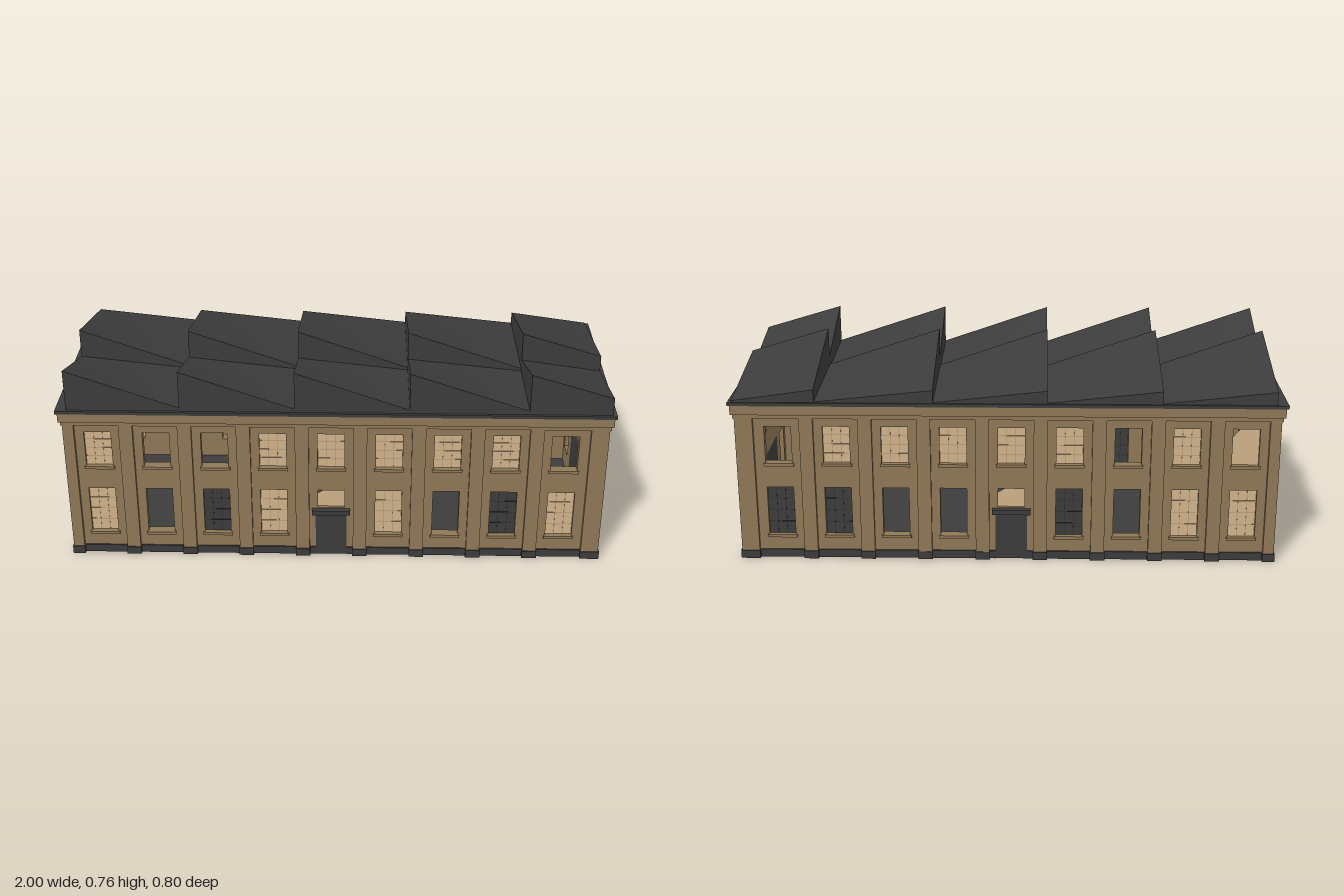
import * as THREE from 'three';

const mat = (name, color, side = THREE.FrontSide) => {
  const m = new THREE.MeshStandardMaterial({ color, side });
  m.name = name;
  return m;
};

export function createModel() {
  const model = new THREE.Group();
  model.name = 'factory';
  const brick = mat('tan brick', 0x8f7857);
  const dark = mat('dark slate', 0x3c3c3c, THREE.DoubleSide);
  const line = mat('dark trim', 0x2a2a2a);
  const glass = mat('warm glass', 0xd2b48c, THREE.DoubleSide);
  const bar = mat('glazing bar', 0xa98f6c);
  const canopyGrey = mat('canopy grey', 0x7c7875);

  const add = (parent, name, geo, material) => {
    const m = new THREE.Mesh(geo, material);
    m.name = name;
    parent.add(m);
    return m;
  };
  // box given by its minimum and maximum on each axis
  const box = (parent, name, material, x0, x1, y0, y1, z0, z1) => {
    const m = add(parent, name, new THREE.BoxGeometry(x1 - x0, y1 - y0, z1 - z0), material);
    m.position.set((x0 + x1) / 2, (y0 + y1) / 2, (z0 + z1) / 2);
    return m;
  };
  const polygon = (pts) => new THREE.Shape(pts.map(([x, y]) => new THREE.Vector2(x, y)));
  const rect = (x0, x1, y0, y1) => polygon([[x0, y0], [x1, y0], [x1, y1], [x0, y1]]);

  const TOP = 0.56, RELIEF = 0.015, THICK = 0.03, PLINTH = 0.03;

  // T warm pane, D dark pane, O empty opening, B broken warm pane, C broken dark pane
  const addWindow = (wall, z, { x, y0, y1, w, kind, noSill }) => {
    const x0 = x - w / 2, x1 = x + w / 2, h = y1 - y0;
    if (!noSill) box(wall, 'windowSill', brick, x0 - 0.006, x1 + 0.006, y0 - 0.011, y0, z - 0.01, z + 0.008);
    if (kind === 'O') return;
    const warm = kind === 'T' || kind === 'B';
    let shape = rect(x0, x1, y0, y1);
    if (kind === 'B') shape = polygon([[x0, y0], [x1, y0], [x1, y1], [x0 + w * 0.3, y1], [x0, y1 - h * 0.25]]);
    if (kind === 'C') shape = polygon([[x1, y0 + h * 0.15], [x1, y1], [x0, y1], [x0, y0 + h * 0.55], [x0 + w * 0.5, y0 + h * 0.3]]);
    add(wall, 'windowPane', new THREE.ShapeGeometry(shape), warm ? glass : dark).position.z = z - 0.012;
    if (kind === 'B' || kind === 'C') return;
    const m = warm ? bar : line, t = 0.001, zf = z - 0.0115;
    for (const k of [1 / 3, 2 / 3]) box(wall, 'glazingBar', m, x0 + w * k - t, x0 + w * k + t, y0, y1, zf - 0.001, zf + 0.001);
    for (const k of [0.25, 0.5, 0.75]) box(wall, 'glazingBar', m, x0, x1, y0 + h * k - t, y0 + h * k + t, zf - 0.001, zf + 0.001);
  };

  // one pierced wall, facing local +z, with raised piers and a plinth
  const buildWall = (name, angle, half, face, windows, piers, door) => {
    const wall = new THREE.Group();
    wall.name = name;
    wall.rotation.y = angle;
    const z = face - RELIEF;
    const shape = rect(-half, half, 0, TOP);
    for (const o of [...windows, door]) {
      const y0 = o === door ? 0.001 : o.y0;
      shape.holes.push(rect(o.x - o.w / 2, o.x + o.w / 2, y0, o.y1));
    }
    add(wall, 'wallPanel', new THREE.ExtrudeGeometry(shape, { depth: THICK, bevelEnabled: false }), brick)
      .position.z = z - THICK;
    windows.forEach((w) => addWindow(wall, z, w));
    for (const [a, b] of piers) {
      box(wall, 'pier', brick, a, b, PLINTH, TOP, z - 0.005, face);
      box(wall, 'pierPlinth', dark, a - 0.002, b + 0.002, 0, PLINTH, z - 0.005, face + 0.004);
    }
    const d0 = door.x - door.w / 2, d1 = door.x + door.w / 2;
    box(wall, 'plinth', dark, -half, d0, 0, PLINTH, z - 0.005, z + 0.006);
    box(wall, 'plinth', dark, d1, half, 0, PLINTH, z - 0.005, z + 0.006);
    model.add(wall);
    return { wall, z };
  };

  // long walls: nine bays, a small door in the middle one
  const PITCH = 0.211, MID = -0.015;
  const longWall = (name, sign, upper, lower) => {
    const windows = [], piers = [];
    for (let i = 0; i < 9; i++) {
      const x = sign * (MID + (i - 4) * PITCH);
      windows.push({ x, y0: 0.37, y1: 0.51, w: 0.097, kind: upper[i] });
      if (i !== 4) windows.push({ x, y0: 0.09, y1: 0.275, w: 0.097, kind: lower[i] });
      if (i < 8) piers.push([x + sign * PITCH / 2 - 0.025, x + sign * PITCH / 2 + 0.025]);
    }
    const x = sign * MID;
    windows.push({ x, y0: 0.201, y1: 0.275, w: 0.097, kind: 'B', noSill: true });
    piers.push([-0.98, sign > 0 ? -0.94 : -0.915], [sign > 0 ? 0.915 : 0.94, 0.98]);
    const door = { x, w: 0.115, y1: 0.18 };
    const { wall, z } = buildWall(name, sign > 0 ? 0 : Math.PI, 0.965, 0.385, windows, piers, door);
    box(wall, 'smallDoor', dark, x - 0.0575, x + 0.0575, 0, 0.18, z - 0.02, z + 0.004);
    box(wall, 'doorLintel', dark, x - 0.07, x + 0.07, 0.18, 0.198, z - 0.01, z + 0.022);
  };
  longWall('frontWall', 1, 'TOOTTTTTO', 'TODTxTODT');
  longWall('backWall', -1, 'BTOTTTTTO', 'TTODxOODD');

  // end walls: large double door under a canopy
  const endWall = (name, angle, kinds) => {
    const windows = [-0.27, -0.087, 0.087, 0.27].map((x, i) => ({ x, y0: 0.37, y1: 0.51, w: 0.085, kind: kinds[i] }));
    windows.push({ x: -0.27, y0: 0.09, y1: 0.275, w: 0.085, kind: kinds[4] });
    windows.push({ x: 0.27, y0: 0.09, y1: 0.275, w: 0.085, kind: kinds[5] });
    const piers = [[-0.385, -0.342], [-0.204, -0.165], [0.165, 0.204], [0.342, 0.385]];
    const door = { x: 0, w: 0.33, y1: 0.285 };
    const { wall, z } = buildWall(name, angle, 0.37, 0.98, windows, piers, door);
    box(wall, 'largeDoor', dark, -0.165, 0.165, 0, 0.285, z - 0.03, z - 0.015);
    box(wall, 'doorHead', dark, -0.165, 0.165, 0.267, 0.285, z - 0.015, z + 0.006);
    for (const s of [-1, 1]) box(wall, 'doorJamb', dark, s * 0.161 - 0.004, s * 0.161 + 0.004, 0, 0.267, z - 0.015, z + 0.004);
    box(wall, 'doorSeam', line, -0.003, 0.003, 0, 0.267, z - 0.016, z - 0.012);
    box(wall, 'doorRail', line, 0.005, 0.155, 0.19, 0.194, z - 0.016, z - 0.013);
    const profile = polygon([[0, 0.292], [0.033, 0.292], [0.033, 0.302], [0.016, 0.355], [0, 0.355]]);
    const canopy = add(wall, 'canopy', new THREE.ExtrudeGeometry(profile, { depth: 0.334, bevelEnabled: false }), canopyGrey);
    canopy.rotation.y = -Math.PI / 2;
    canopy.position.set(0.167, 0, z);
    box(wall, 'canopyLip', line, -0.168, 0.168, 0.287, 0.293, z, z + 0.034);
  };
  endWall('rightEndWall', Math.PI / 2, 'CTTDBD');
  endWall('leftEndWall', -Math.PI / 2, 'TTTDDD');

  // floor, cornice and roof slab
  box(model, 'floor', dark, -0.95, 0.95, 0, 0.012, -0.36, 0.36);
  box(model, 'corniceLower', brick, -0.985, 0.985, 0.545, 0.56, -0.388, 0.388);
  box(model, 'cornice', brick, -0.992, 0.992, 0.56, 0.595, -0.394, 0.394);
  box(model, 'roofSlab', dark, -1, 1, 0.595, 0.607, -0.398, 0.398);
  box(model, 'ceiling', dark, -0.93, 0.93, 0.535, 0.546, -0.335, 0.335);

  // sawtooth roof: each cell is highest at its left front corner
  const edges = [-0.96, -0.555, -0.145, 0.265, 0.69, 0.985];
  const rows = [[-0.39, 0.045], [0.045, 0.387]];
  for (const [z0, z1] of rows) {
    for (let i = 0; i < 5; i++) {
      const last = i === 4;
      const geo = new THREE.BoxGeometry(1, 1, 1, 4, 1, 4);
      const p = geo.attributes.position;
      for (let k = 0; k < p.count; k++) {
        const u = p.getX(k) + 0.5, v = p.getZ(k) + 0.5;
        const left = 0.655 + 0.107 * v, right = last ? 0.613 + 0.06 * v : 0.61 + 0.01 * v;
        const y = p.getY(k) > 0 ? left + (right - left) * u : 0.6;
        p.setXYZ(k, edges[i] + (edges[i + 1] - edges[i]) * u, y, z0 + (z1 - z0) * v);
      }
      geo.computeVertexNormals();
      add(model, 'sawtoothRoof', geo, dark);
    }
  }
  return model;
}
